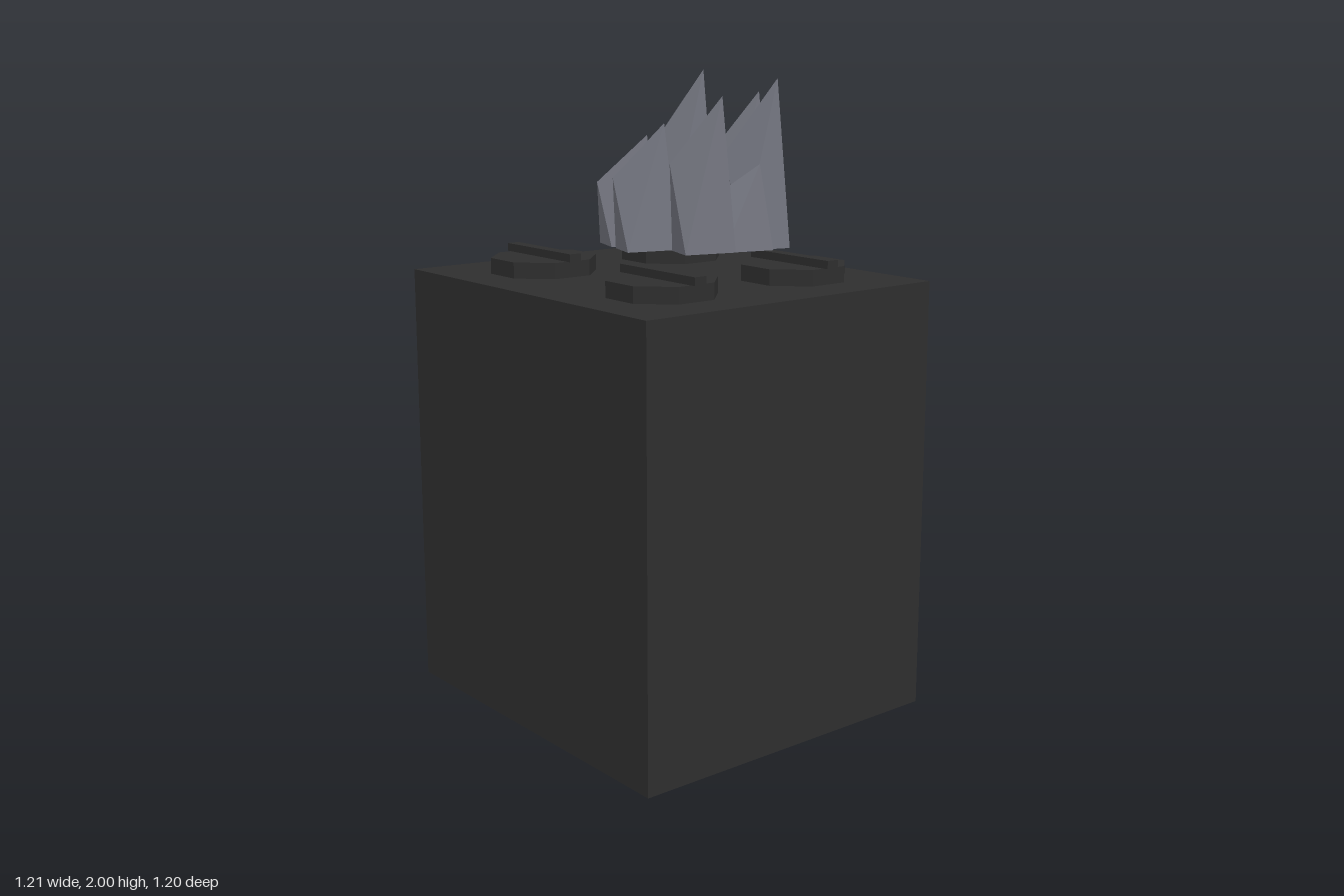
import * as THREE from 'three';

export function createModel() {
  const model = new THREE.Group();
  const enamel = new THREE.MeshStandardMaterial({ color: 0x2e2e2e });
  enamel.name = 'charcoalEnamel';
  const smoke = new THREE.MeshStandardMaterial({ color: 0x72747e });
  smoke.name = 'smokeGrey';

  function add(name, geometry, material, x, y, z, parent = model) {
    const mesh = new THREE.Mesh(geometry, material);
    mesh.name = name;
    mesh.position.set(x, y, z);
    parent.add(mesh);
    return mesh;
  }
  const box = (w, h, d) => new THREE.BoxGeometry(w, h, d);
  // Eight-sided disc with flat sides square to the axes
  const octagon = (r, h) =>
    new THREE.CylinderGeometry(r, r, h, 8, 1, false, Math.PI / 8).toNonIndexed();
  const faceted = (g) => { g.computeVertexNormals(); return g; };

  // Stove body
  add('body', box(1.21, 1.375, 1.1), enamel, 0, 0.6875, 0.05);

  // Four burners, each with a bar across the top
  const discGeo = faceted(octagon(0.17, 0.05));
  const barGeo = box(0.348, 0.025, 0.042);
  for (const x of [-0.302, 0.302]) {
    for (const z of [-0.212, 0.305]) {
      const burner = new THREE.Group();
      burner.name = 'burner';
      burner.position.set(x, 1.375, z);
      add('burnerDisc', discGeo, enamel, 0, 0.025, 0, burner);
      add('burnerBar', barGeo, enamel, 0, 0.0625, 0, burner);
      model.add(burner);
    }
  }

  // Control knobs, handle and oven window on the -z side
  const knobGeo = faceted(octagon(0.034, 0.065));
  for (let i = -2; i <= 2; i++) {
    const knob = add('knob', knobGeo, enamel, i * 0.202, 1.263, -0.5365);
    knob.rotation.x = -Math.PI / 2;
  }
  add('ovenHandle', box(0.87, 0.055, 0.076), enamel, 0, 1.148, -0.558);
  add('ovenWindow', box(0.84, 0.58, 0.036), enamel, 0, 0.745, -0.518);

  // Flame: four base corners, one bulging shoulder and a leaning tip
  function flameGeometry(h) {
    const s = h * 0.565;
    const p = [
      [0, 0, 0], [0.021, 0, 0.136], [0.131, 0, 0.172], [0.177, 0, 0.01],
      [0.017, s, 0.143], [0.128, h, 0.026],
    ];
    const faces = [
      [0, 1, 4], [0, 4, 5], [1, 2, 4], [4, 2, 5],
      [2, 3, 5], [3, 0, 5], [0, 2, 1], [0, 3, 2],
    ];
    const g = new THREE.BufferGeometry();
    const positions = faces.flat().flatMap((i) => p[i]);
    g.setAttribute('position', new THREE.Float32BufferAttribute(positions, 3));
    return faceted(g);
  }

  // Ring of flames: back corner x, z and tip height
  const flames = new THREE.Group();
  flames.name = 'flames';
  model.add(flames);
  const baseY = 1.455;
  for (const [x, z, tip] of [
    [-0.286, -0.026, 1.8], [-0.146, 0.016, 1.845], [-0.273, -0.247, 2],
    [-0.188, -0.412, 1.93], [-0.065, -0.341, 1.69], [0.039, -0.286, 1.98],
    [0.045, -0.211, 1.72], [0.013, -0.084, 1.93],
  ]) {
    add('flame', flameGeometry(tip - baseY), smoke, x, baseY, z, flames);
  }

  return model;
}
